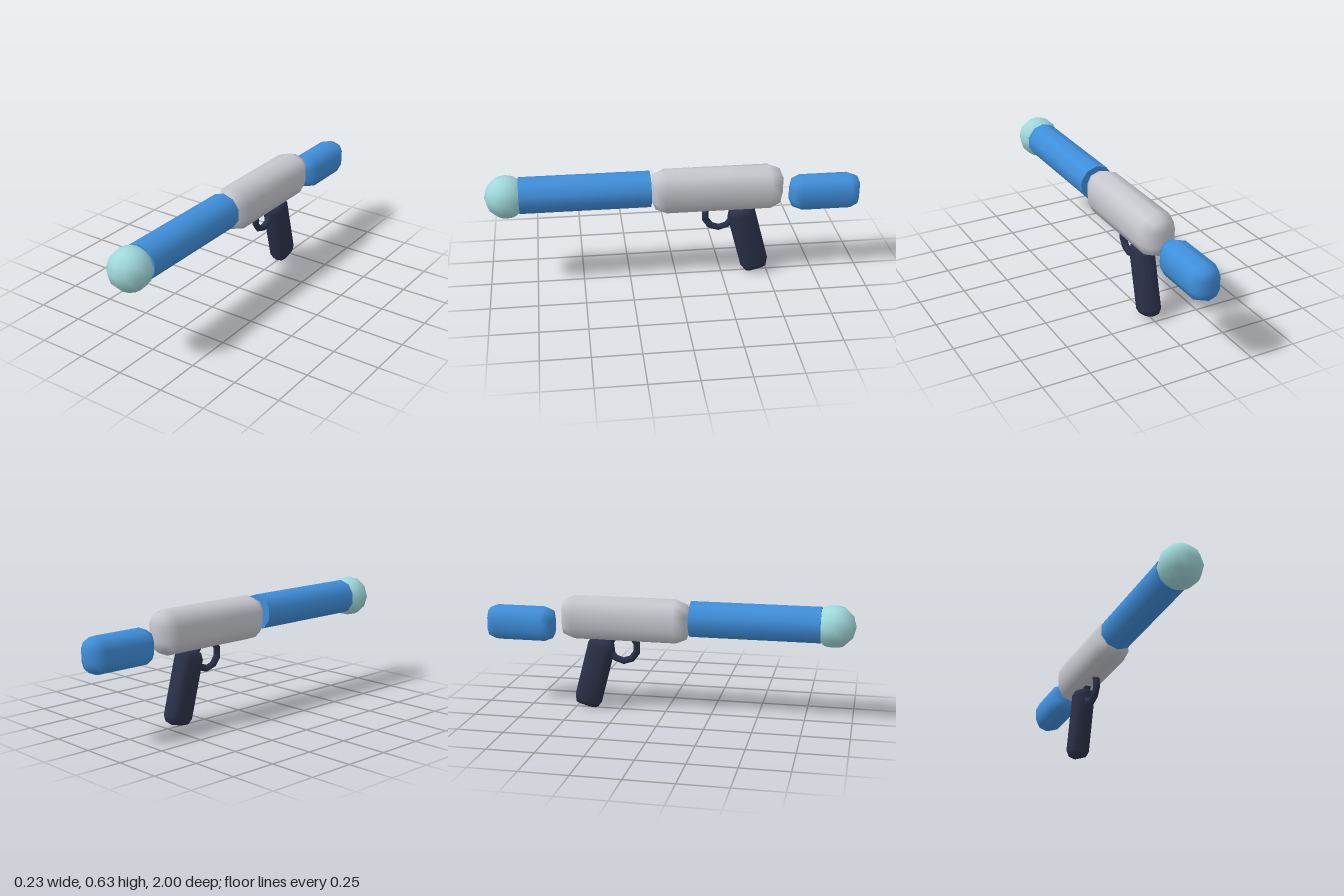
import * as THREE from 'three';
import { mergeVertices } from 'three/addons/utils/BufferGeometryUtils.js';

// Rounded block along z: an eight-sided ellipsoid split apart in y and z.
// rx, ry, rz are the corner radii; h and l are half the height and length.
function roundedBlock(rx, ry, rz, h, l) {
  const flatY = h - ry, flatZ = l - rz;
  const section = [];
  for (const side of [1, -1]) {
    for (let k = 0; k <= 4; k++) {
      const a = k * Math.PI / 4 + (side < 0 ? Math.PI : 0);
      section.push([rx * Math.cos(a), ry * Math.sin(a), side * flatY]);
    }
  }
  const rings = [];
  for (const end of [-1, 1]) {
    for (let k = 0; k <= 2; k++) {
      const lat = (end < 0 ? 2 - k : k) * Math.PI / 4;
      const scale = Math.cos(lat) < 1e-6 ? 0 : Math.cos(lat);
      rings.push([scale, end * (flatZ + rz * Math.sin(lat))]);
    }
  }
  const n = section.length, pos = [], index = [];
  for (const [s, z] of rings) {
    for (const [x, y, offset] of section) pos.push(x * s, y * s + offset, z);
  }
  for (let i = 0; i < rings.length - 1; i++) {
    for (let j = 0; j < n; j++) {
      const k = (j + 1) % n;
      const a = i * n + j, b = i * n + k, c = b + n, d = a + n;
      index.push(a, b, c, a, c, d);
    }
  }
  const geo = new THREE.BufferGeometry();
  geo.setAttribute('position', new THREE.Float32BufferAttribute(pos, 3));
  geo.setIndex(index);
  const merged = mergeVertices(geo, 1e-5);
  merged.computeVertexNormals();
  return merged;
}

export function createModel() {
  const model = new THREE.Group();
  model.name = 'toyBlaster';

  const material = (name, color) => {
    const m = new THREE.MeshStandardMaterial({ color });
    m.name = name;
    return m;
  };
  const blue = material('blue', 0x3f8fdb);
  const grey = material('light grey', 0xc6c8ce);
  const navy = material('dark navy', 0x2b3149);
  const aqua = material('pale aqua', 0xa0d8da);

  const add = (name, geometry, mat, y, z) => {
    const mesh = new THREE.Mesh(geometry, mat);
    mesh.name = name;
    mesh.position.set(0, y, z);
    model.add(mesh);
    return mesh;
  };

  // Main body and the separate stock behind it
  add('body', roundedBlock(0.098, 0.08, 0.08, 0.121, 0.356), grey, 0.51, -0.221);
  add('stock', roundedBlock(0.081, 0.065, 0.065, 0.0975, 0.195), blue, 0.4625, -0.804);

  // Ten-sided barrel with a ball at the muzzle
  const barrel = new THREE.CylinderGeometry(0.0975, 0.0975, 0.685, 10);
  barrel.rotateX(Math.PI / 2);
  add('barrel', barrel, blue, 0.5275, 0.478);
  add('muzzleBall', new THREE.SphereGeometry(0.113, 12, 6), aqua, 0.524, 0.887);

  // Slanted grip
  const grip = add('grip', roundedBlock(0.055, 0.044, 0.044, 0.0765, 0.2), navy, 0.206, -0.393);
  grip.rotation.x = Math.PI / 2 + 0.255;

  // Trigger guard loop, running up into the body and back into the grip
  const guard = new THREE.TorusGeometry(0.077, 0.019, 6, 10);
  guard.rotateZ(Math.PI / 10);
  guard.rotateY(Math.PI / 2);
  add('triggerGuard', guard, navy, 0.355, -0.232);

  return model;
}
